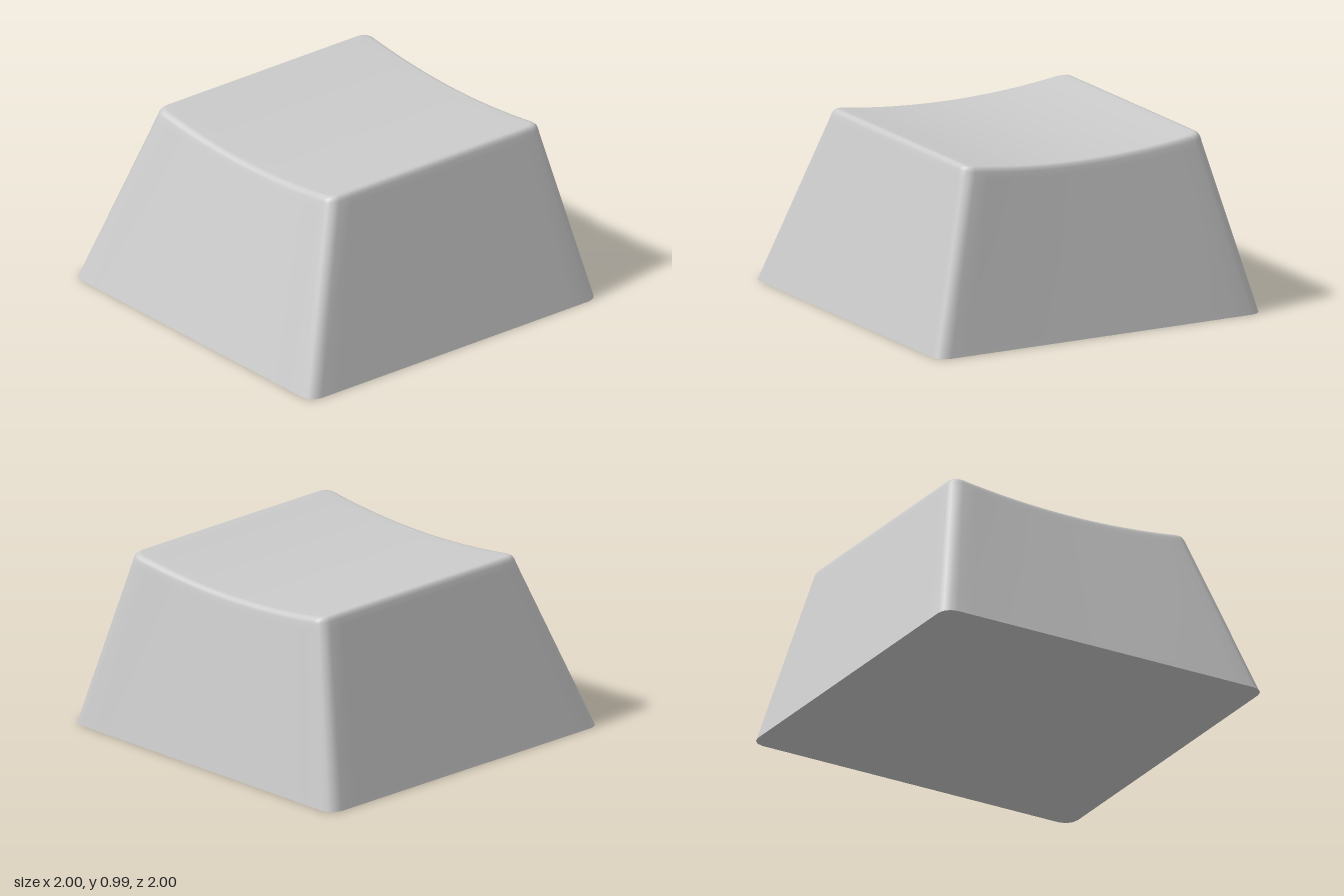
import * as THREE from 'three';

const CORNER = 3; // segments per rounded corner
const EDGE = 16;  // segments per straight edge
const DIP = 0.055; // depth of the cylindrical dish

// Rounded rectangle in plan as [x, z] points
function outline(hx, front, back, r) {
  const corners = [
    [hx - r, front - r], [-hx + r, front - r],
    [-hx + r, back + r], [hx - r, back + r],
  ];
  const arc = (k, j) => {
    const a = (k + j / CORNER) * Math.PI / 2;
    return [corners[k][0] + r * Math.cos(a), corners[k][1] + r * Math.sin(a)];
  };
  const pts = [];
  for (let k = 0; k < 4; k++) {
    for (let j = 0; j <= CORNER; j++) pts.push(arc(k, j));
    const p = arc(k, CORNER), q = arc((k + 1) % 4, 0);
    for (let j = 1; j < EDGE; j++) {
      const t = j / EDGE;
      pts.push([p[0] + (q[0] - p[0]) * t, p[1] + (q[1] - p[1]) * t]);
    }
  }
  return pts;
}

function meshFrom(name, positions, index, material) {
  const geo = new THREE.BufferGeometry();
  geo.setAttribute('position', new THREE.Float32BufferAttribute(positions, 3));
  geo.setIndex(index);
  geo.computeVertexNormals();
  const mesh = new THREE.Mesh(geo, material);
  mesh.name = name;
  return mesh;
}

export function createModel() {
  const group = new THREE.Group();
  group.name = 'keycap';
  const material = new THREE.MeshStandardMaterial({ color: 0xcccccc });

  // Sloping walls and rounded rim: half width, front z, back z, corner radius, height, dish weight
  const sections = [
    [1, 1, -1, 0.075, 0, 0],
    [0.99, 0.987, -0.993, 0.075, 0.036, 0.04],
    [0.747, 0.662, -0.828, 0.065, 0.93, 0.98],
    [0.738, 0.65, -0.822, 0.062, 0.963, 1],
    [0.73, 0.641, -0.815, 0.058, 0.98, 1],
    [0.718, 0.629, -0.804, 0.052, 0.989, 1],
    [0.7, 0.612, -0.787, 0.045, 0.99, 1],
  ];
  const positions = [];
  for (const [hx, front, back, r, y, weight] of sections) {
    for (const [x, z] of outline(hx, front, back, r)) {
      positions.push(x, y + weight * DIP * ((x / hx) ** 2 - 1), z);
    }
  }

  // Dished top: the rim outline shrinks towards the centre
  const [hx, front, back, r, rimY] = sections[sections.length - 1];
  const rim = outline(hx, front, back, r);
  const cz = (front + back) / 2;
  const steps = 10;
  for (let i = 1; i < steps; i++) {
    const s = 1 - i / steps;
    for (const [x, z] of rim) {
      positions.push(x * s, rimY + DIP * ((x * s / hx) ** 2 - 1), cz + (z - cz) * s);
    }
  }
  positions.push(0, rimY - DIP, cz);

  const n = rim.length;
  const rings = sections.length + steps - 1;
  const index = [];
  for (let k = 0; k < rings; k++) {
    for (let i = 0; i < n; i++) {
      const a = k * n + i, b = k * n + (i + 1) % n;
      if (k < rings - 1) index.push(a, a + n, b, b, a + n, b + n);
      else index.push(a, rings * n, b);
    }
  }
  group.add(meshFrom('capShell', positions, index, material));

  // Flat underside
  const basePositions = [0, 0, 0];
  const baseIndex = [];
  outline(1, 1, -1, 0.075).forEach(([x, z], i) => {
    basePositions.push(x, 0, z);
    baseIndex.push(0, i + 1, (i + 1) % n + 1);
  });
  group.add(meshFrom('underside', basePositions, baseIndex, material));

  return group;
}
